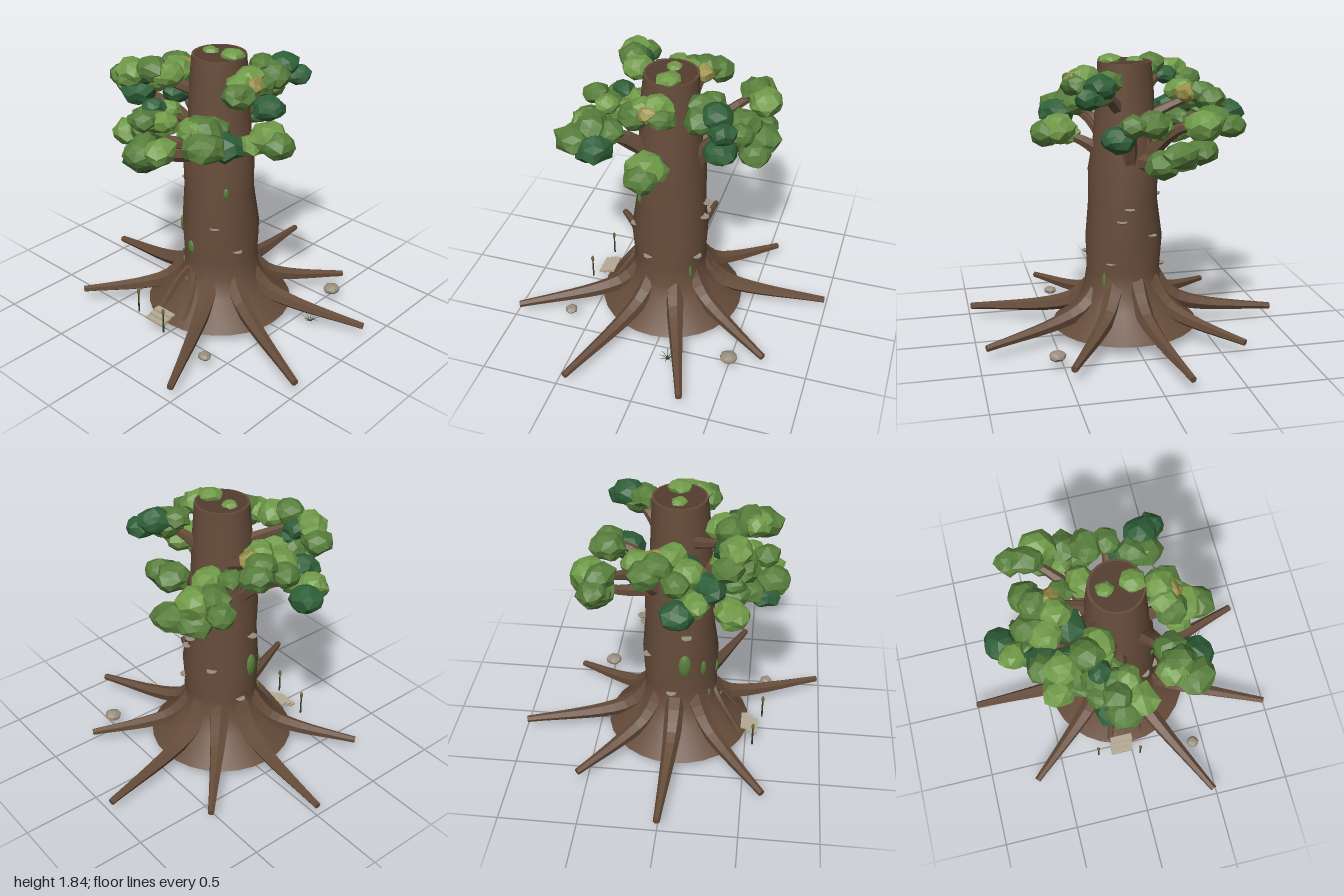
import * as THREE from 'three';
import { toCreasedNormals } from 'three/addons/utils/BufferGeometryUtils.js';

const V = (x, y, z) => new THREE.Vector3(x, y, z);

export function createModel() {
  const model = new THREE.Group();
  model.name = 'tree';
  const mat = (name, color) => {
    const m = new THREE.MeshStandardMaterial({ color });
    m.name = name;
    return m;
  };
  const bark = mat('bark', 0x664c3a);
  const darkBark = mat('darkBark', 0x543d30);
  const leaf = mat('leafGreen', 0x587f3c);
  const light = mat('lightLeaf', 0x719b49);
  const dark = mat('darkLeaf', 0x2f6039);
  const olive = mat('oliveLeaf', 0x98904a);
  const stone = mat('stone', 0x9a8f80);
  const plank = mat('plank', 0xb5aa94);
  const stem = mat('stem', 0x3b3d2a);
  const reed = mat('reedHead', 0x6e6a30);

  const add = (name, geo, material, parent = model) => {
    const mesh = new THREE.Mesh(geo, material);
    mesh.name = name;
    parent.add(mesh);
    return mesh;
  };
  const group = (name) => {
    const g = new THREE.Group();
    g.name = name;
    model.add(g);
    return g;
  };
  const flat = (geo) => {
    const g = geo.index ? geo.toNonIndexed() : geo;
    g.computeVertexNormals();
    return g;
  };

  // Tapered faceted limb with a blunt tip
  const limb = (points, r0, r1, sides = 6, n = 12) => {
    const curve = new THREE.CatmullRomCurve3(points);
    const geo = new THREE.TubeGeometry(curve, n, 1, sides);
    const { position: p, normal } = geo.attributes;
    for (let i = 0; i < p.count; i++) {
      const ring = Math.floor(i / (sides + 1));
      const t = Math.min(1, ring / (n - 1));
      const r = ring === n ? 0 : r1 + (r0 - r1) * Math.pow(1 - t, 1.2);
      const c = curve.getPointAt(t);
      p.setXYZ(i, c.x + normal.getX(i) * r, c.y + normal.getY(i) * r, c.z + normal.getZ(i) * r);
    }
    return flat(geo);
  };

  // Lumpy low-poly ball for leaf clumps and stones
  const lump = (seed, jitter = 0.16) => {
    const geo = new THREE.IcosahedronGeometry(1, 1);
    const p = geo.attributes.position;
    const v = V(0, 0, 0);
    for (let i = 0; i < p.count; i++) {
      v.fromBufferAttribute(p, i);
      v.multiplyScalar(1 + jitter * Math.sin(v.x * 12.3 + v.y * 7.7 + v.z * 17.1 + seed * 2.4));
      p.setXYZ(i, v.x, v.y, v.z);
    }
    return flat(geo);
  };

  // Trunk: flared base, slightly wavy shaft
  const profile = [[0, 0.063], [0.475, 0.063], [0.31, 0.22], [0.25, 0.33], [0.238, 0.45],
    [0.249, 0.65], [0.222, 0.9], [0.224, 1.1], [0.2, 1.28], [0.182, 1.6], [0.168, 1.785], [0.15, 1.785]];
  const trunk = new THREE.LatheGeometry(profile.map(([r, y]) => new THREE.Vector2(r, y)), 28);
  const tp = trunk.attributes.position;
  for (let i = 0; i < tp.count; i++) {
    const x = tp.getX(i), y = tp.getY(i), z = tp.getZ(i);
    const shaft = y > 0.3 && y < 1.7;
    const k = shaft ? 1 + 0.025 * Math.sin(3 * Math.atan2(z, x) + y * 7) : 1;
    tp.setXYZ(i, x * k + (shaft ? 0.024 - 0.012 * y : 0.006), y, z * k + (shaft ? 0.042 : 0.036));
  }
  add('trunk', toCreasedNormals(trunk, 0.7), bark);
  const cap = add('trunkTop', new THREE.CylinderGeometry(0.155, 0.155, 0.006, 28), darkBark);
  cap.position.set(0.008, 1.783, 0.036);

  // Roots sweep from the trunk down to each tip
  const roots = group('roots');
  [[-0.17, -0.99], [0.475, -0.71], [0.95, -0.295], [0.99, 0.445], [0.477, 0.975], [-0.695, 0.63],
    [-1, 0], [-0.635, -0.56]].forEach(([x, z]) => {
    const dz = z - 0.035, R = Math.hypot(x, dz);
    const path = [[0.17, 0.38], [0.23, 0.29], [0.33, 0.2], [0.5, 0.145], [R, 0.082]];
    add('root', limb(path.map(([r, y]) => V(x / R * r, y, 0.035 + dz / R * r)), 0.075, 0.022), bark, roots);
  });

  // Arched rim of the doorway, half sunk into the flare
  const arch = [-2, -1, 0, 1, 2].map((s) => V(-0.025 + s * 0.055, 0.385 - s * s * 0.076, 0.268 + s * s * 0.047));
  add('doorArch', limb(arch, 0.022, 0.018, 6, 18), bark);

  // Leaf sprays: start, end, clump radius, one letter per clump for its colour
  const sprays = [
    [[0.49, 1.36, 0.06], [0.35, 1.34, 0.1], 0.105, 'gll'],
    [[0.24, 1.48, 0.36], [0.34, 1.46, 0.55], 0.11, 'ggg'],
    [[0.36, 1.43, 0.38], [0.25, 1.47, 0.52], 0.105, 'dl'],
    [[0.29, 1.67, 0], [0.27, 1.65, 0.18], 0.085, 'glolg'],
    [[0.27, 1.64, -0.36], [0.18, 1.67, -0.18], 0.1, 'ddgg'],
    [[0.14, 1.38, -0.32], [-0.07, 1.48, -0.42], 0.1, 'dgg'],
    [[-0.13, 1.25, -0.5], [-0.34, 1.28, -0.43], 0.105, 'gglg'],
    [[-0.54, 1.46, -0.38], [-0.36, 1.47, -0.43], 0.1, 'ggl'],
    [[-0.17, 1.42, -0.22], [-0.28, 1.43, -0.13], 0.09, 'lg'],
    [[-0.52, 1.57, -0.1], [-0.34, 1.57, 0], 0.09, 'ggol'],
    [[-0.54, 1.54, 0.08], [-0.3, 1.5, 0.12], 0.1, 'gld'],
    [[-0.72, 1.44, 0.12], [-0.48, 1.45, 0.22], 0.095, 'dlgd'],
    [[-0.47, 1.63, 0.39], [-0.17, 1.71, 0.33], 0.093, 'gldgl'],
    [[-0.3, 1.4, 0.4], [-0.02, 1.44, 0.44], 0.09, 'ggll'],
    [[-0.18, 1.48, 0.33], [-0.1, 1.46, 0.56], 0.08, 'ldgg'],
    [[-0.14, 1.25, 0.59], [0.02, 1.3, 0.55], 0.105, 'dggl'],
    [[-0.18, 1.3, 0.47], [-0.42, 1.28, 0.36], 0.097, 'ggl'],
  ];
  const colours = { g: leaf, l: light, d: dark, o: olive };
  const foliage = group('foliage');
  const branches = group('branches');
  sprays.forEach(([a, b, r, code], s) => {
    const start = V(...a), end = V(...b);
    const across = V(start.z - end.z, 0, end.x - start.x).normalize();
    [...code].forEach((c, i) => {
      const seed = s * 5 + i;
      const clump = add('leafClump', lump(seed), colours[c], foliage);
      const zig = i % 2 ? 1 : -1;
      clump.position.lerpVectors(start, end, i / (code.length - 1)).addScaledVector(across, zig * 0.025);
      clump.position.y += zig * 0.02 + (c === 'o' ? 0.03 : 0);
      const size = r * (1 + 0.12 * Math.sin(seed * 2.1));
      clump.scale.set(size, size * 0.78, size);
      clump.rotation.y = seed * 1.7;
    });
    // Branch from the trunk into the spray
    const { x, y, z } = start.clone().lerp(end, 0.5);
    const high = y > 1.52;
    const root = V(x, 0, z).setLength(0.12).setY(high ? y - 0.15 : 1.17);
    const bend = V(x * 0.58, y - 0.08, z * 0.58);
    add('branch', limb([root, bend, V(x, y, z)], high ? 0.045 : 0.06, 0.022, 6, 8), bark, branches);
  });

  // Tufts on the trunk top
  [[0.1, 0.075], [-0.06, 0.05]].forEach(([x, r], i) => {
    const tuft = add('topTuft', lump(i), light, foliage);
    tuft.position.set(x, 1.77 + r * 0.3, 0.035);
    tuft.scale.set(r, r * 0.5, r);
  });

  // Creeper leaves: angle from the front towards +x, height, half width, half length
  const creepers = group('creeperLeaves');
  [[-1.35, 0.68, 0.042, 0.085], [-0.8, 0.63, 0.022, 0.055], [-0.1, 0.54, 0.03, 0.052],
    [0.9, 0.96, 0.016, 0.035], [-0.55, 0.39, 0.014, 0.03], [2.4, 0.4, 0.014, 0.06]].forEach(([a, y, w, h], i) => {
    const l = add('creeperLeaf', lump(i, 0.06), leaf, creepers);
    l.position.set(0.014 + Math.sin(a) * 0.242, y, 0.04 + Math.cos(a) * 0.242);
    l.scale.set(w, h, w * 0.6);
    l.rotation.y = a;
  });

  // Shelf fungi: angle from the front towards +x, height
  const fungi = group('shelfFungi');
  [[1.2, 0.53], [0.6, 0.71], [-1.7, 0.45], [-1.3, 0.9], [3.1, 0.88], [2.9, 0.8], [-2.5, 0.69],
    [2.6, 0.52]].forEach(([a, y]) => {
    const f = add('fungus', flat(new THREE.CylinderGeometry(0.034, 0.02, 0.014, 8)), stone, fungi);
    f.position.set(0.014 + Math.sin(a) * 0.242, y, 0.038 + Math.cos(a) * 0.242);
  });

  // Stones on the ground
  [[0.54, -0.5, 0.055], [0.42, 0.62, 0.04]].forEach(([x, z, r], i) => {
    const s = add('stone', lump(i + 5, 0.08), stone);
    s.position.set(x, 0.085, z);
    s.scale.set(r, r * 0.6, r);
  });

  // Doorstep planks
  for (let i = 0; i < 3; i++) {
    const s = add('step', new THREE.BoxGeometry(0.15, 0.013, 0.045), plank);
    s.position.set(-0.075 + i * 0.006, 0.08 + i * 0.017, 0.555 - i * 0.033);
  }

  // Reeds beside the path
  [[-0.24, 0.55], [0.045, 0.605]].forEach(([x, z]) => {
    const stalk = add('reedStalk', new THREE.CylinderGeometry(0.005, 0.006, 0.16, 6), stem);
    stalk.position.set(x, 0.15, z);
    const head = add('reedHead', lump(0, 0), reed);
    head.position.set(x, 0.225, z);
    head.scale.set(0.011, 0.025, 0.011);
  });

  // Small bud hanging in the doorway
  const bud = add('doorBud', lump(1, 0), reed);
  bud.position.set(-0.02, 0.31, 0.32);
  bud.scale.set(0.011, 0.02, 0.011);

  // Grass tuft beside a root, and fine rootlets hanging below the base
  const tuft = (name, x, z, count, reach, rise) => {
    const g = group(name);
    for (let i = 0; i < count; i++) {
      const a = i / count * Math.PI * 2;
      const base = V(x, 0.065, z);
      const tip = V(x + Math.cos(a) * reach, 0.065 + rise, z + Math.sin(a) * reach);
      const mid = base.clone().lerp(tip, 0.5).add(V(0, 0.008, 0));
      add('blade', limb([base, mid, tip], 0.004, 0.001, 3, 4), stem, g);
    }
  };
  tuft('grass', 0.65, -0.13, 9, 0.055, 0.03);
  tuft('rootlets', 0.27, 0.2, 3, 0.025, -0.064);
  tuft('rootlets', 0.27, 0.01, 3, 0.025, -0.064);

  return model;
}
